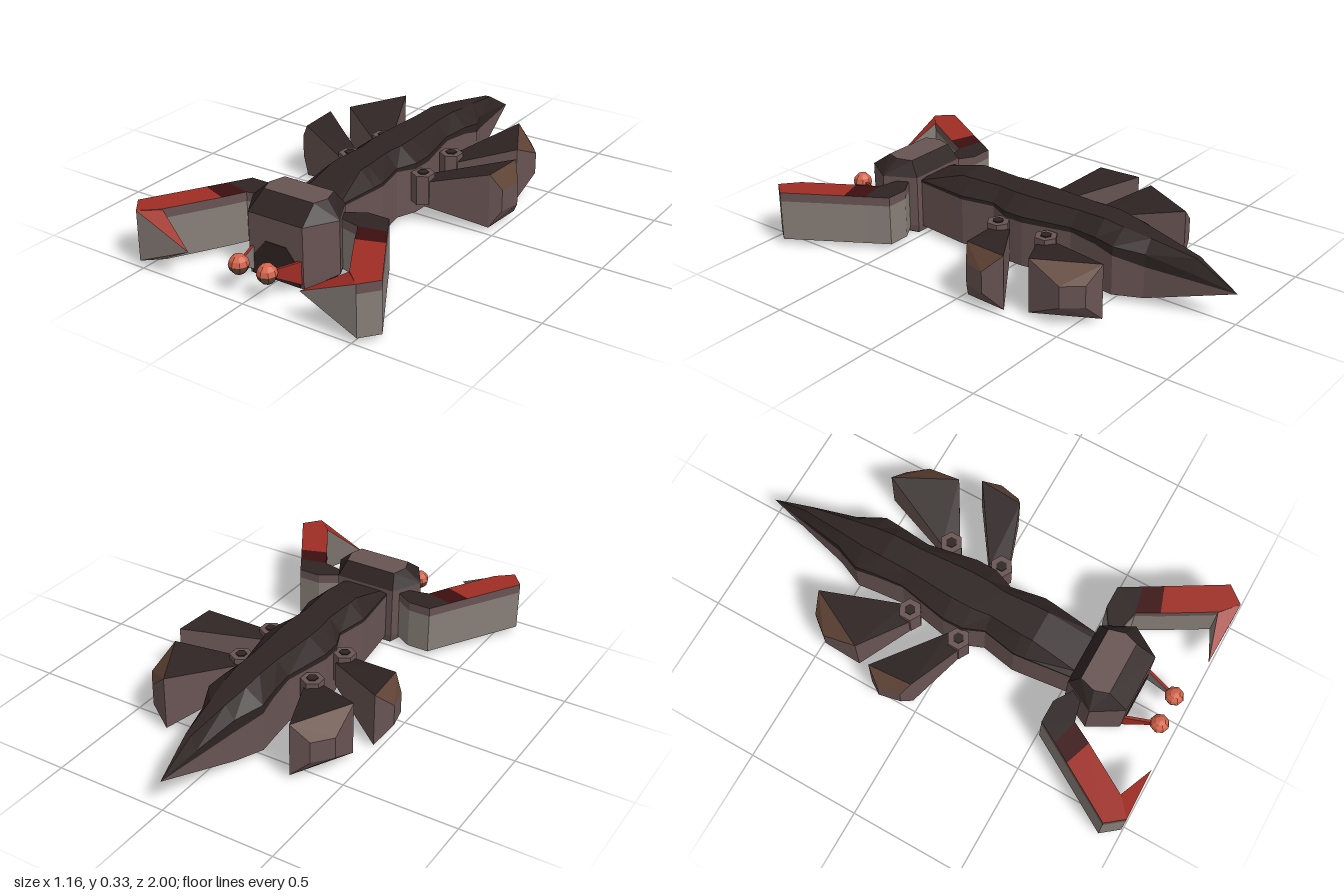
import * as THREE from 'three';
import { ConvexGeometry } from 'three/addons/geometries/ConvexGeometry.js';

const mat = (name, color) => {
  const m = new THREE.MeshStandardMaterial({ color, flatShading: true });
  m.name = name;
  return m;
};

export function createModel() {
  const dark = mat('dark shell', 0x2e2423);
  const mauve = mat('mauve flank', 0x685453);
  const grey = mat('claw grey', 0x877e78);
  const red = mat('claw red', 0x9e2d23);
  const maroon = mat('deep red', 0x3c0f0f);
  const brown = mat('fin brown', 0x5e4234);
  const orange = mat('eye orange', 0xd3654c);

  const model = new THREE.Group();
  const add = (name, geo, material, parent = model) => {
    const m = new THREE.Mesh(geo, material);
    m.name = name;
    parent.add(m);
    return m;
  };

  // Sorts loose triangles into material groups; pick(normal, centre) gives the material
  const paint = (name, verts, pick, parent) => {
    const buckets = new Map();
    for (let i = 0; i < verts.length; i += 3) {
      const t = new THREE.Triangle(verts[i], verts[i + 1], verts[i + 2]);
      if (t.getArea() < 1e-7) continue;
      const m = pick(t.getNormal(new THREE.Vector3()), t.getMidpoint(new THREE.Vector3()));
      if (!buckets.has(m)) buckets.set(m, []);
      buckets.get(m).push(t.a, t.b, t.c);
    }
    const geo = new THREE.BufferGeometry().setFromPoints([...buckets.values()].flat());
    let start = 0, k = 0;
    for (const pts of buckets.values()) {
      geo.addGroup(start, pts.length, k++);
      start += pts.length;
    }
    geo.computeVertexNormals();
    return add(name, geo, [...buckets.keys()], parent);
  };

  // Convex solid through layers of plan points: [[y, [[x, z], ...]], ...]
  const hull = (name, layers, pick, parent, side = 1) => {
    const pts = layers.flatMap(([y, plan]) => plan.map(([x, z]) => new THREE.Vector3(side * x, y, z)));
    const p = new ConvexGeometry(pts).attributes.position;
    const verts = [];
    for (let i = 0; i < p.count; i++) verts.push(new THREE.Vector3().fromBufferAttribute(p, i));
    return paint(name, verts, pick, parent);
  };
  const both = plan => [...plan, ...plan.map(([x, z]) => [-x, z])];

  // Body cross-sections: z, half width, bottom, colour line, shoulder, top, ridge half width
  const rings = [
    [0.53, 0.11, 0.025, 0.235, 0.245, 0.25, 0.08],
    [0.32, 0.135, 0.025, 0.235, 0.25, 0.31, 0.07],
    [0.27, 0.14, 0.025, 0.235, 0.25, 0.31, 0.07],
    [0.12, 0.112, 0.025, 0.235, 0.25, 0.31, 0.06],
    [0.03, 0.148, 0.025, 0.225, 0.25, 0.31, 0.07],
    [-0.06, 0.15, 0.025, 0.225, 0.25, 0.31, 0.07],
    [-0.28, 0.108, 0.025, 0.23, 0.25, 0.31, 0.055],
    [-0.41, 0.12, 0.025, 0.22, 0.25, 0.31, 0.055],
    [-0.5, 0.13, 0.025, 0.2, 0.24, 0.295, 0.05],
    [-0.62, 0.077, 0.025, 0.165, 0.22, 0.275, 0.035],
    [-0.82, 0.037, 0.083, 0.15, 0.18, 0.238, 0.012],
    [-1, 0, 0.135, 0.135, 0.135, 0.135, 0],
  ].map(([z, w, b, m, s, t, r]) =>
    [[-w, b], [w, b], [w, m], [w, s], [r, t], [-r, t], [-w, s], [-w, m]]
      .map(([x, y]) => new THREE.Vector3(x, y, z)));
  const upper = [], lower = [];
  for (let i = 0; i < rings.length - 1; i++) {
    for (let j = 0; j < 8; j++) {
      const k = (j + 1) % 8;
      const [a, b, c, d] = [rings[i][j], rings[i][k], rings[i + 1][k], rings[i + 1][j]];
      (j >= 2 && j <= 6 ? upper : lower).push(a, c, b, a, d, c);
    }
  }
  for (let j = 1; j < 7; j++) lower.push(rings[0][0], rings[0][j], rings[0][j + 1]);
  paint('backShell', upper, () => dark);
  paint('bodyFlanks', lower, () => mauve);

  // Head block with chamfered top and bottom
  const outline = both([[0.14, 0.525], [0.21, 0.66], [0.13, 0.79]]);
  hull('head', [
    [0, both([[0.135, 0.53], [0.17, 0.66], [0.13, 0.785]])],
    [0.035, outline], [0.265, outline],
    [0.33, both([[0.12, 0.57], [0.14, 0.64], [0.12, 0.7]])],
  ], n => (n.y > 0.2 && n.y < 0.98 ? dark : mauve));
  const mouth = new THREE.Shape([[-0.115, 0.005], [0.115, 0.005], [0.115, 0.08], [0.05, 0.16], [-0.05, 0.16], [-0.115, 0.08]]
    .map(p => new THREE.Vector2(...p)));
  const mouthGeo = new THREE.ExtrudeGeometry(mouth, { depth: 0.005, bevelEnabled: false });
  add('mouth', mouthGeo.translate(0, 0, 0.788), dark);

  // Claw arm pieces in plan: elbow, cuff, forearm
  const armParts = [
    ['clawElbow', dark, [[0.14, 0.57], [0.235, 0.51], [0.335, 0.51], [0.388, 0.6], [0.27, 0.628], [0.15, 0.6]]],
    ['clawCuff', maroon, [[0.388, 0.6], [0.27, 0.628], [0.32, 0.72], [0.436, 0.68]]],
    ['clawForearm', red, [[0.436, 0.68], [0.58, 0.92], [0.52, 0.995], [0.445, 0.93], [0.32, 0.72]]],
  ];
  // Fins in plan: root edge, broad edge, end edge, joint position
  const fins = [
    ['frontFin', [[0.17, -0.015], [0.21, 0.06]], [[0.478, -0.225], [0.465, -0.03]], [[0.53, -0.155], [0.51, -0.06]], [0.185, 0.035]],
    ['rearFin', [[0.155, -0.24], [0.215, -0.185]], [[0.3, -0.575], [0.435, -0.315]], [[0.38, -0.55], [0.445, -0.47]], [0.175, -0.205]],
  ];

  for (const side of [1, -1]) {
    const limbs = new THREE.Group();
    limbs.name = side > 0 ? 'leftLimbs' : 'rightLimbs';
    model.add(limbs);

    for (const [name, top, plan] of armParts) {
      hull(name, [[0.025, plan], [0.205, plan]], () => grey, limbs, side);
      hull(name + 'Top', [[0.205, plan], [0.245, plan]], n => (n.y > 0.5 ? top : mauve), limbs, side);
    }
    // Pointed pincer
    const base = [[0.52, 0.995], [0.45, 0.925]];
    hull('pincer', [[0.025, base], [0.135, [[0.265, 0.99]]], [0.245, base]],
      n => (n.y > 0.3 ? red : grey), limbs, side);

    for (const [name, root, broad, end, [jx, jz]] of fins) {
      hull(name, [
        [0.08, root], [0.19, root], [0.015, broad], [0.255, broad], [0.09, end], [0.185, end],
      ], (n, c) => {
        if (n.y < 0.25) return mauve;
        const beyond = Math.abs(c.x) > (broad[0][0] + broad[1][0]) / 2;
        return beyond ? brown : dark;
      }, limbs, side);
      // Hexagonal joint with a recessed-looking cap
      add(name + 'Joint', new THREE.CylinderGeometry(0.05, 0.05, 0.13, 6).translate(side * jx, 0.155, jz), mauve, limbs);
      add(name + 'JointCap', new THREE.CylinderGeometry(0.024, 0.024, 0.006, 6).translate(side * jx, 0.222, jz), dark, limbs);
    }

    // Eye stalk and two-tone eye
    hull('eyeStalk', [
      [0.015, [[0.112, 0.78], [0.125, 0.78]]], [0.12, [[0.112, 0.78], [0.125, 0.78]]],
      [0.095, [[0.068, 0.91], [0.08, 0.91]]], [0.125, [[0.068, 0.91], [0.08, 0.91]]],
    ], n => (n.y > 0.5 || n.x * side > 0.5 ? red : grey), limbs, side);
    [['eyeTop', orange, 0], ['eyeUnderside', brown, Math.PI / 2]].forEach(([name, m, from]) =>
      add(name, new THREE.SphereGeometry(0.042, 8, 3, 0, Math.PI * 2, from, Math.PI / 2)
        .translate(side * 0.068, 0.118, 0.93), m, limbs));
  }
  return model;
}
